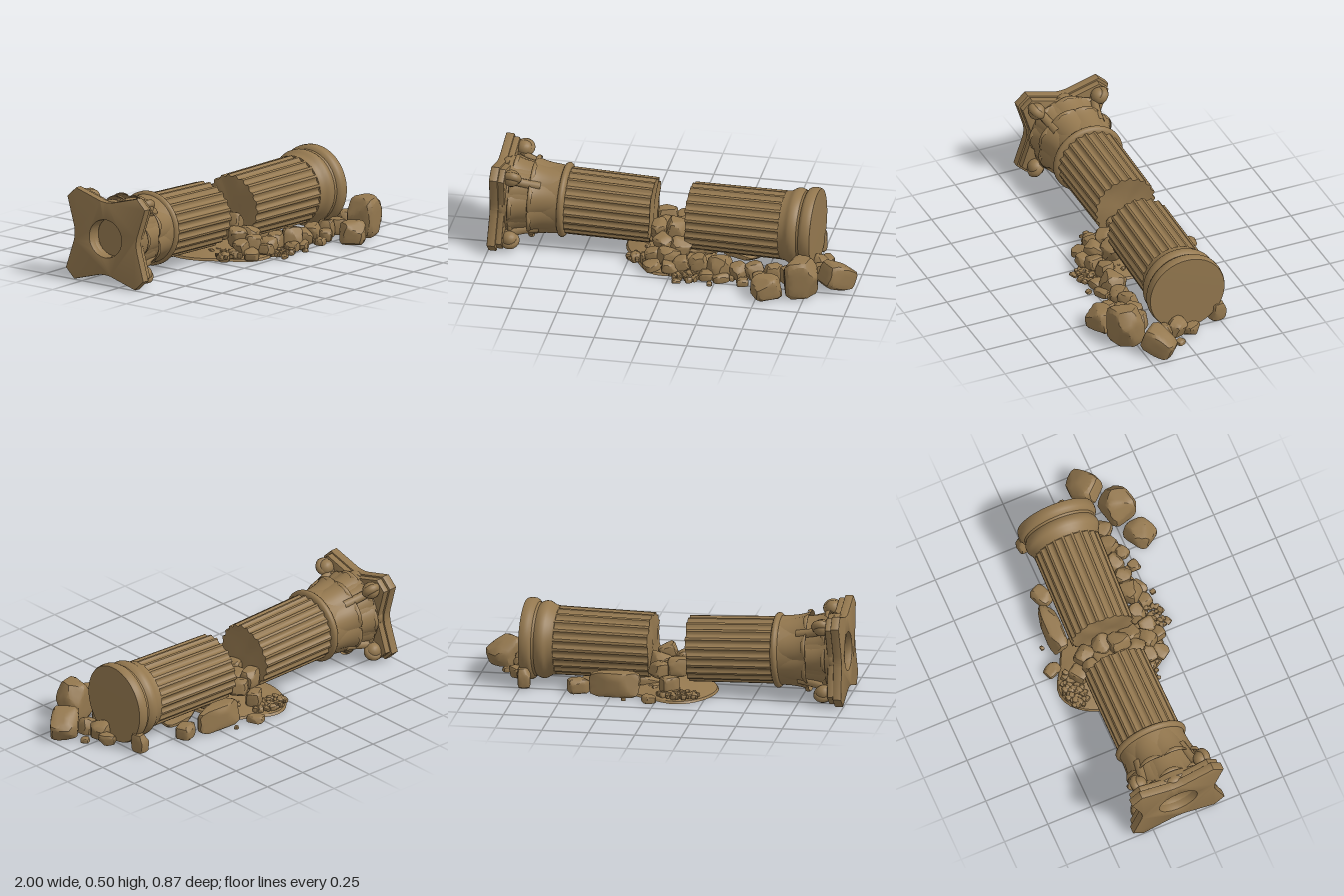
import * as THREE from 'three';
import { toCreasedNormals } from 'three/addons/utils/BufferGeometryUtils.js';

const stone = new THREE.MeshStandardMaterial({ color: 0x94784f });
stone.name = 'brown stone';
const stoneSheet = new THREE.MeshStandardMaterial({ color: 0x94784f, side: THREE.DoubleSide });
stoneSheet.name = 'brown stone sheet';

let seed = 7;
const rnd = () => (seed = (seed * 16807) % 2147483647) / 2147483647;
const range = (a, b) => a + (b - a) * rnd();

function add(parent, name, geometry, material = stone) {
  const mesh = new THREE.Mesh(geometry, material);
  mesh.name = name;
  parent.add(mesh);
  return mesh;
}

function moveVertices(geometry, rule) {
  const p = geometry.attributes.position, v = new THREE.Vector3();
  for (let i = 0; i < p.count; i++) {
    v.fromBufferAttribute(p, i);
    rule(v);
    p.setXYZ(i, v.x, v.y, v.z);
  }
  return geometry;
}

const profile = points => points.map(([r, y]) => new THREE.Vector2(r, y));

// Fluted drum along y, with one ragged end
function flutedShaft(y0, y1, r0, r1, brokenY) {
  const flutes = 22, points = [];
  for (const k of [0, 0.3, 0.6, 0.85]) points.push([k * r0, y0]);
  for (const t of [0, 0.03, 0.06, 0.1, 0.3, 0.5, 0.7, 0.9, 0.94, 0.97, 1]) {
    points.push([r0 + (r1 - r0) * t, y0 + (y1 - y0) * t]);
  }
  for (const k of [0.85, 0.6, 0.3, 0]) points.push([k * r1, y1]);
  const g = new THREE.LatheGeometry(profile(points), flutes * 8);
  moveVertices(g, v => {
    const r = Math.hypot(v.x, v.z);
    if (r > 0.9 * Math.min(r0, r1)) {
      const f = ((Math.atan2(v.x, v.z) / (2 * Math.PI) + 1) * flutes + 1e-5) % 1;
      const groove = Math.sqrt(Math.max(0, 1 - ((f - 0.5) / 0.3) ** 2));
      const k = (r - 0.012 * groove) / r;
      v.x *= k;
      v.z *= k;
    }
    if (Math.abs(v.y - brokenY) < 1e-4) {
      v.y += 0.004 * Math.sin(23 * v.x + 9 * v.z) + 0.003 * Math.sin(41 * v.z - 27 * v.x);
    }
  });
  return toCreasedNormals(g, 0.6);
}

// Curling leaf lying on the bell, tip towards -y
function leafGeometry(y, length, width, r, curl) {
  const path = new THREE.CatmullRomCurve3([
    [0, 0], [0.15, 0.45], [0.45, 0.8], [0.85, 1], [1, 0.94], [0.9, 0.84],
  ].map(([c, t]) => new THREE.Vector3(r + c * curl, y - t * length, 0)));
  const g = new THREE.PlaneGeometry(2, 1, 10, 18);
  moveVertices(g, v => {
    const u = v.x, t = v.y + 0.5, c = path.getPoint(t);
    const half = width * (1 - 0.6 * t ** 3);
    const radius = c.x - 0.012 * u * u;
    const a = u * half / r;
    v.set(radius * Math.sin(a), c.y, radius * Math.cos(a));
  });
  g.computeVertexNormals();
  return g;
}

// Slab with sides bent inward and cut corners, a little lower than wide
function abacusGeometry(scale, depth, bevel) {
  const s = new THREE.Shape(), A = 0.264 * scale, B = 0.206 * scale, mid = 0.21 * scale;
  s.moveTo(A, -B);
  for (let i = 0; i < 4; i++) {
    const c = Math.round(Math.cos(i * Math.PI / 2)), n = Math.round(Math.sin(i * Math.PI / 2));
    const at = (x, y) => [c * x - n * y, n * x + c * y];
    s.lineTo(...at(mid + 0.004, -0.04));
    s.quadraticCurveTo(...at(mid - 0.004, 0), ...at(mid + 0.004, 0.04));
    s.lineTo(...at(A, B));
    s.lineTo(...at(B, A));
  }
  s.holes.push(new THREE.Path().absarc(0, 0, 0.108, 0, Math.PI * 2, true));
  const g = new THREE.ExtrudeGeometry(s, { depth, curveSegments: 20, bevelSize: bevel,
    bevelThickness: bevel, bevelOffset: -bevel, bevelSegments: 2 });
  return toCreasedNormals(g.rotateX(-Math.PI / 2).scale(0.94, 1, 1), 0.5);
}

function buildCapital(parent) {
  const capital = new THREE.Group();
  capital.name = 'capital';
  parent.add(capital);
  add(capital, 'abacus', abacusGeometry(1, 0.036, 0.005)).position.y = -0.987;
  add(capital, 'abacusMoulding', abacusGeometry(0.95, 0.025, 0.008)).position.y = -0.946;
  // Bell, socket and neck ring
  const bell = new THREE.LatheGeometry(profile([[0, -0.91], [0.112, -0.91], [0.112, -0.98], [0.17, -0.98],
    [0.203, -0.925], [0.198, -0.9], [0.186, -0.84], [0.178, -0.78], [0.18, -0.7], [0.183, -0.65],
    [0.184, -0.638], [0.194, -0.634], [0.2, -0.625], [0.2, -0.615], [0.194, -0.606], [0.18, -0.6],
    [0, -0.6]]), 64);
  add(capital, 'bell', toCreasedNormals(bell, 0.7), stoneSheet);
  const lower = leafGeometry(-0.645, 0.15, 0.078, 0.184, 0.036);
  const upper = leafGeometry(-0.75, 0.15, 0.072, 0.186, 0.036);
  for (let i = 0; i < 8; i++) {
    const a = i * Math.PI / 4;
    add(capital, 'lowerLeaf', lower, stoneSheet).rotation.y = a + Math.PI / 8;
    add(capital, 'upperLeaf', upper, stoneSheet).rotation.y = a;
  }
  // Corner scrolls on the diagonals, rosettes on the sides
  const spiral = [new THREE.Vector3(0, -0.74, 0.175), new THREE.Vector3(0, -0.82, 0.195)];
  for (let i = 0; i <= 12; i++) {
    const a = Math.PI + i * 0.6, r = 0.042 - i * 0.0022;
    spiral.push(new THREE.Vector3(0, -0.878 + Math.sin(a) * r, 0.258 + Math.cos(a) * r));
  }
  const scroll = new THREE.TubeGeometry(new THREE.CatmullRomCurve3(spiral), 60, 0.024, 8);
  const core = new THREE.SphereGeometry(1, 16, 12).scale(0.046, 0.046, 0.044);
  const rosette = new THREE.SphereGeometry(1, 14, 10).scale(0.04, 0.03, 0.018);
  for (let i = 0; i < 4; i++) {
    const corner = new THREE.Group();
    corner.name = 'cornerScroll';
    corner.rotation.y = Math.PI / 4 + i * Math.PI / 2;
    capital.add(corner);
    add(corner, 'scroll', scroll, stoneSheet);
    add(corner, 'scrollCore', core).position.set(0, -0.885, 0.256);
    const side = new THREE.Group();
    side.name = 'sideRosette';
    side.rotation.y = i * Math.PI / 2;
    capital.add(side);
    add(side, 'rosette', rosette).position.set(0, -0.935, 0.187);
  }
}

// Chipped stone: a rounded block cut by random planes, rolled and turned
function rock(parent, name, [x, y, z, w, h, d, yaw = 0, roll = 0], detail = 4) {
  const g = new THREE.IcosahedronGeometry(1, detail), cuts = [];
  for (let i = 0; i < 7; i++) {
    cuts.push([new THREE.Vector3(range(-1, 1), range(-0.3, 1), range(-1, 1)).normalize(), range(0.92, 1.15)]);
  }
  const turn = new THREE.Euler(0, yaw, roll);
  moveVertices(g, v => {
    v.divideScalar((v.x ** 6 + v.y ** 6 + v.z ** 6) ** (1 / 6));
    for (const [n, limit] of cuts) v.addScaledVector(n, -Math.max(0, v.dot(n) - limit));
    v.set(v.x * w / 2, v.y * h / 2, v.z * d / 2).applyEuler(turn);
    v.set(v.x + x, Math.max(0.003, v.y + y), v.z + z);
  });
  add(parent, name, toCreasedNormals(g, 0.55));
}

export function createModel() {
  const model = new THREE.Group();
  model.name = 'fallenColumn';

  // Upper half with the capital, axis along -x
  const upper = new THREE.Group();
  upper.name = 'upperColumn';
  upper.position.set(0, 0.22, -0.1);
  upper.rotation.z = -Math.PI / 2 - 0.033;
  model.add(upper);
  add(upper, 'upperShaft', flutedShaft(-0.62, -0.142, 0.18, 0.176, -0.142));
  buildCapital(upper);

  // Lower half with the moulded foot
  const lower = new THREE.Group();
  lower.name = 'lowerColumn';
  lower.position.set(0, 0.223, -0.087);
  lower.rotation.set(0, -0.036, -Math.PI / 2);
  model.add(lower);
  add(lower, 'lowerShaft', flutedShaft(0.06, 0.59, 0.179, 0.184, 0.06));
  const foot = new THREE.LatheGeometry(profile([[0, 0.57], [0.183, 0.57], [0.187, 0.595], [0.195, 0.61],
    [0.201, 0.618], [0.206, 0.63], [0.206, 0.648], [0.201, 0.662], [0.195, 0.672], [0.198, 0.685],
    [0.21, 0.692], [0.217, 0.705], [0.218, 0.725], [0.216, 0.742], [0.212, 0.75], [0, 0.753]]), 64);
  add(lower, 'foot', toCreasedNormals(foot, 0.7));

  // Thin crust of debris under the break, open below
  const debris = new THREE.Group();
  debris.name = 'rubble';
  model.add(debris);
  const mound = new THREE.LatheGeometry(profile([[1, 0.004], [0.97, 0.016], [0.8, 0.03],
    [0.55, 0.045], [0.3, 0.058], [0, 0.065]]), 40);
  moveVertices(mound, v => {
    const k = 1 + 0.05 * Math.sin(5 * v.x + 3 * v.z);
    const bump = v.y > 0.02 ? 0.006 * Math.sin(9 * v.x) * Math.cos(8 * v.z) : 0;
    v.set(v.x * 0.25 * k - 0.035, v.y + bump, v.z * 0.305 * k + v.x * 0.06 - 0.085);
  });
  add(debris, 'mound', toCreasedNormals(mound, 0.5), stoneSheet);

  // Large blocks: x, y, z, width, height, depth, yaw, roll
  [[0.725, 0.107, 0.288, 0.18, 0.215, 0.155, 0.25, 0.04], [0.9, 0.072, 0.165, 0.175, 0.135, 0.145, 0.75, -0.35],
    [0.55, 0.06, 0.345, 0.155, 0.12, 0.135, 0.55], [0.23, 0.068, -0.3, 0.27, 0.135, 0.1, -0.04],
    [0.43, 0.04, -0.275, 0.115, 0.08, 0.085, 0.4], [0.035, 0.02, -0.385, 0.07, 0.04, 0.09, 0.4],
    [0.1, 0.05, -0.1, 0.26, 0.06, 0.2, 0.3, 0.15], [0.34, 0.035, -0.1, 0.2, 0.04, 0.16, -0.2, -0.12],
  ].forEach(r => rock(debris, 'block', r));

  // Stones piled in the gap
  [[-0.09, 0.15, -0.2, 0.11, 0.1, 0.09, 0.3], [0, 0.13, -0.21, 0.1, 0.09, 0.1, 0.7, 0.3],
    [-0.05, 0.12, -0.12, 0.14, 0.1, 0.11, 0.2, -0.2], [0.02, 0.15, -0.11, 0.09, 0.09, 0.11, 0.9, 0.4],
    [-0.1, 0.145, -0.04, 0.1, 0.1, 0.11, 0.5, 0.2], [-0.01, 0.17, -0.02, 0.1, 0.1, 0.11, 0.2, -0.3],
    [-0.06, 0.11, 0.05, 0.1, 0.1, 0.1, 1, 0.2], [0.03, 0.1, 0.06, 0.11, 0.1, 0.1, 0.4, -0.3],
    [-0.1, 0.07, 0.11, 0.1, 0.07, 0.08, 0.1, 0.2], [-0.02, 0.08, 0.13, 0.11, 0.09, 0.09, 0.7, -0.2],
    [0.05, 0.06, 0.17, 0.09, 0.07, 0.09, 0.2, 0.3], [-0.1, 0.04, 0.18, 0.09, 0.05, 0.08, 0.6, 0.2],
    [0.0, 0.05, 0.2, 0.09, 0.06, 0.08, 0.2, -0.2], [-0.06, 0.07, -0.27, 0.1, 0.09, 0.08, 0.6],
  ].forEach(r => rock(debris, 'gapStone', r));

  // Stones along the front and around the foot
  [[0.14, 0.06, 0.14, 0.1, 0.09, 0.09, 0.3, 0.2], [0.27, 0.06, 0.16, 0.13, 0.11, 0.11, 0.7, -0.15],
    [0.2, 0.03, 0.22, 0.08, 0.05, 0.07, 0.2], [0.28, 0.025, 0.225, 0.09, 0.05, 0.055, 0.5],
    [0.36, 0.045, 0.16, 0.09, 0.08, 0.1, 0.9, 0.2], [0.4, 0.022, 0.245, 0.065, 0.04, 0.055, 0.3],
    [0.45, 0.05, 0.15, 0.1, 0.09, 0.09, 0.2, 0.2], [0.49, 0.035, 0.21, 0.08, 0.065, 0.07, 0.6],
    [0.55, 0.05, 0.16, 0.1, 0.1, 0.09, 0.4, -0.2], [0.64, 0.05, 0.17, 0.09, 0.09, 0.09, 0.8],
    [0.78, 0.05, 0.02, 0.09, 0.09, 0.11, 0.3, -0.3], [0.8, 0.035, -0.06, 0.07, 0.06, 0.09, 0.6],
    [0.8, 0.05, 0.1, 0.08, 0.09, 0.08, 0.1, 0.2], [0.87, 0.015, 0.035, 0.045, 0.03, 0.045, 0.5],
    [0.73, 0.06, -0.24, 0.07, 0.11, 0.09, 0.2], [0.17, 0.012, -0.385, 0.025, 0.02, 0.02, 0.3],
    [0.05, 0.012, 0.285, 0.045, 0.025, 0.035, 0.5], [0.23, 0.012, 0.28, 0.03, 0.02, 0.03, 0.2],
    [-0.21, 0.03, 0.08, 0.06, 0.05, 0.06, 0.7], [-0.15, 0.04, 0.1, 0.06, 0.05, 0.06, 0.2],
  ].forEach(r => rock(debris, 'looseStone', r, 3));

  // Pebble patches: centre x, z, radii, count, height
  [[-0.12, -0.325, 0.11, 0.06, 38, 0.035], [0.1, 0.215, 0.1, 0.065, 36, 0.022],
    [-0.14, 0.08, 0.12, 0.06, 24, 0.035], [0.36, 0.17, 0.17, 0.05, 16, 0.014],
    [0, -0.06, 0.18, 0.18, 60, 0.035]].forEach(([cx, cz, rx, rz, count, y]) => {
    for (let i = 0; i < count; i++) {
      const a = i * 2.4, k = Math.sqrt((i + 0.5) / count), s = range(0.018, 0.032);
      rock(debris, 'pebble', [cx + rx * k * Math.cos(a), y, cz + rz * k * Math.sin(a),
        s * 1.2, s, s, range(0, 3)], 2);
    }
  });
  return model;
}
